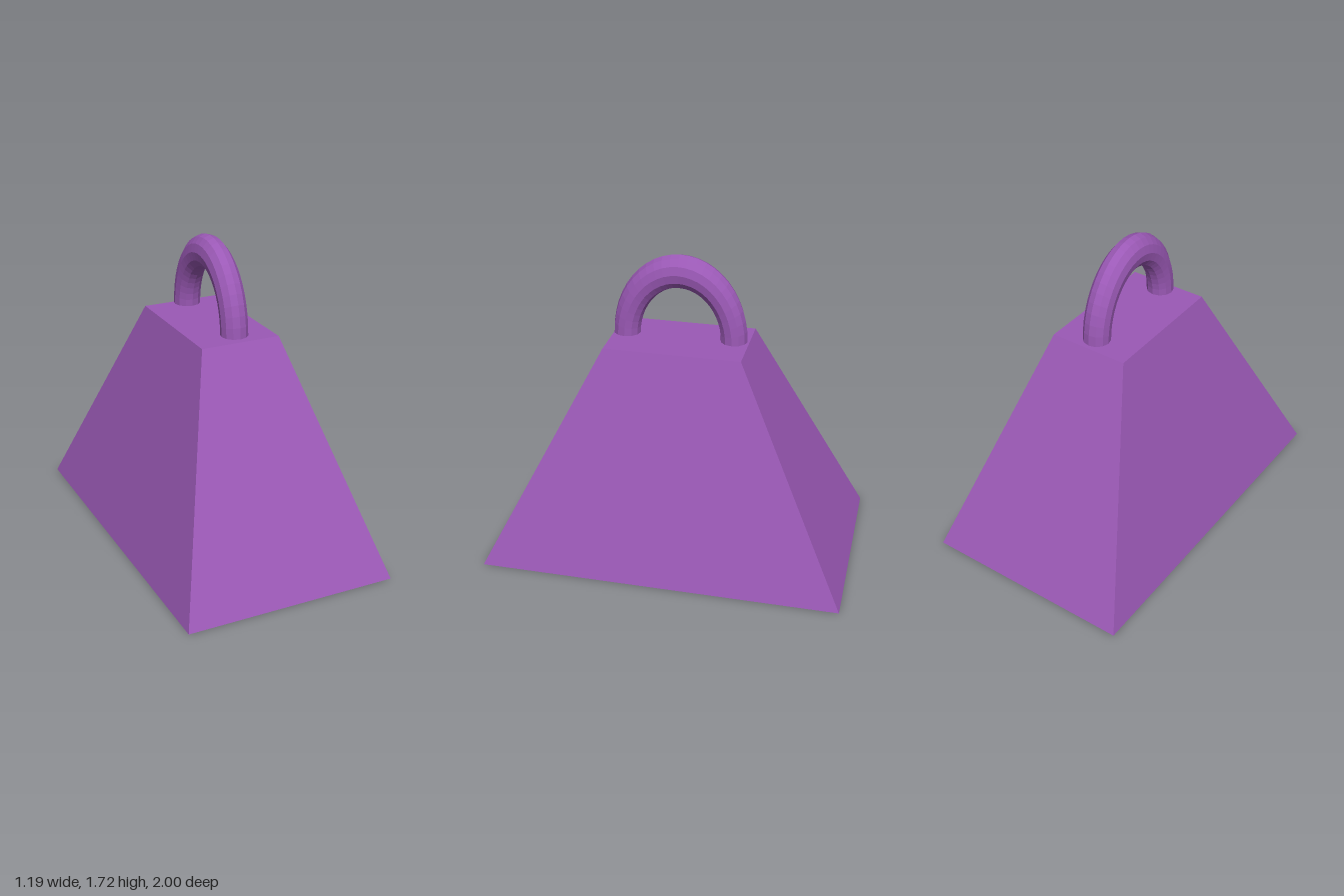
import * as THREE from 'three';

export function createModel() {
  const model = new THREE.Group();
  const material = new THREE.MeshStandardMaterial({ color: 0x9b59b6, flatShading: true });

  // Weight body: a box whose upper corners are drawn in
  const height = 1.235, taper = 0.375;
  const bodyGeometry = new THREE.BoxGeometry(1.19, height, 2);
  bodyGeometry.translate(0, height / 2, 0);
  const p = bodyGeometry.attributes.position;
  for (let i = 0; i < p.count; i++) {
    if (p.getY(i) > height / 2) p.setXYZ(i, p.getX(i) * taper, height, p.getZ(i) * taper);
  }
  bodyGeometry.computeVertexNormals();
  const body = new THREE.Mesh(bodyGeometry, material);
  body.name = 'body';
  model.add(body);

  // Handle: a stretched half ring running front to back, just above the body
  const ringRadius = 0.296, tubeRadius = 0.074;
  const handle = new THREE.Group();
  handle.name = 'handle';
  handle.position.y = 1.25;

  const ringGeometry = new THREE.TorusGeometry(ringRadius, tubeRadius, 12, 24, Math.PI);
  ringGeometry.rotateY(Math.PI / 2).scale(1, 1.257, 1);
  const ring = new THREE.Mesh(ringGeometry, material);
  ring.name = 'handleRing';
  handle.add(ring);

  // Discs closing both ends of the ring
  for (const side of [1, -1]) {
    const end = new THREE.Mesh(new THREE.CircleGeometry(tubeRadius, 12), material);
    end.name = side > 0 ? 'frontHandleEnd' : 'backHandleEnd';
    end.rotation.x = Math.PI / 2;
    end.position.z = side * ringRadius;
    handle.add(end);
  }
  model.add(handle);

  return model;
}
